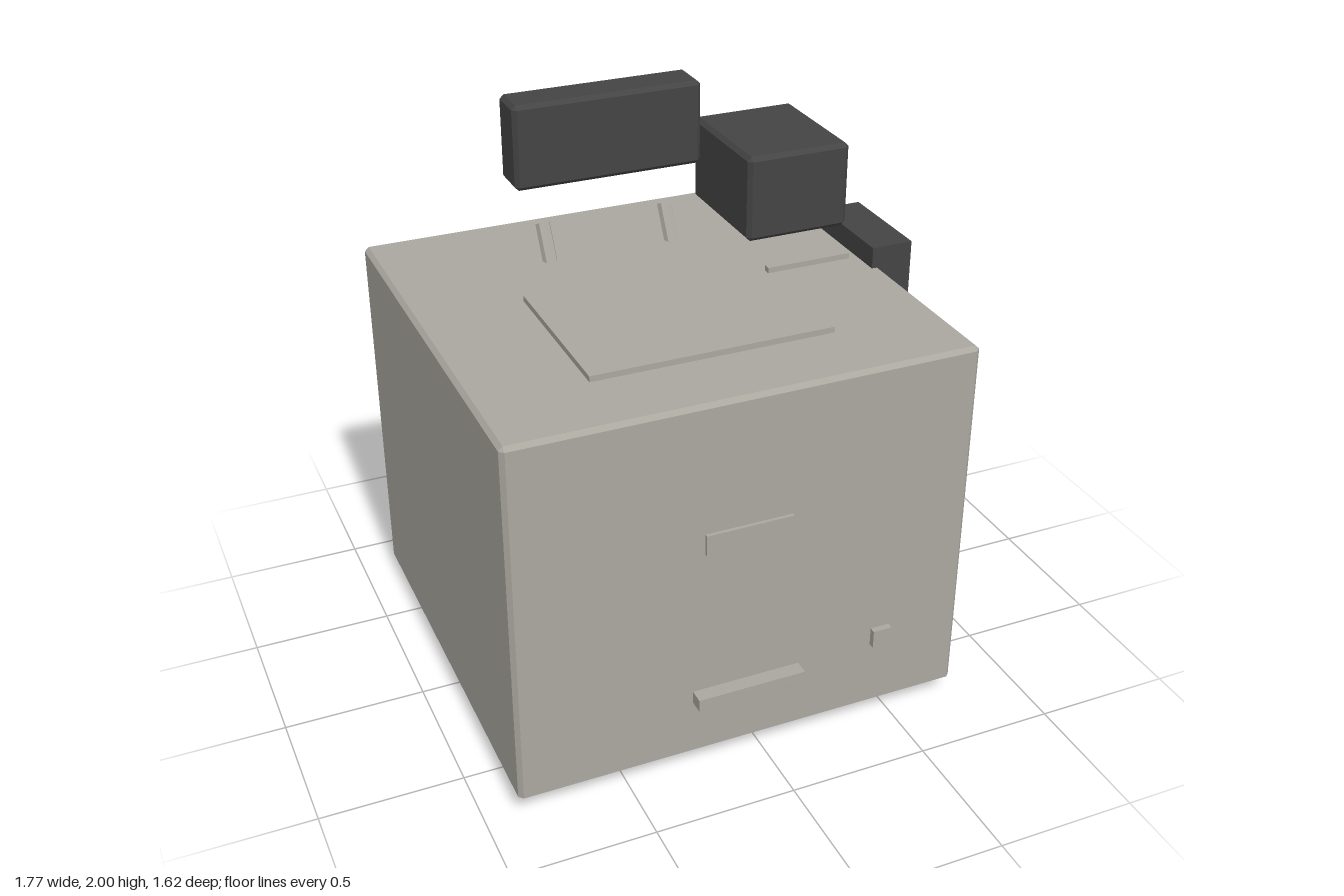
import * as THREE from 'three';

export function createModel() {
  const model = new THREE.Group();
  const shell = new THREE.MeshStandardMaterial({ color: 0xaaa79f, flatShading: true, side: THREE.DoubleSide });
  shell.name = 'warm grey';
  const dark = new THREE.MeshStandardMaterial({ color: 0x444444, flatShading: true });
  dark.name = 'charcoal';

  const add = (name, geometry, material) => {
    const mesh = new THREE.Mesh(geometry, material);
    mesh.name = name;
    model.add(mesh);
    return mesh;
  };

  // Plain box given by its extents
  const box = (name, material, [x0, x1], [y0, y1], [z0, z1]) =>
    add(name, new THREE.BoxGeometry(x1 - x0, y1 - y0, z1 - z0), material)
      .position.set((x0 + x1) / 2, (y0 + y1) / 2, (z0 + z1) / 2);

  // Box with chamfered edges, optionally open underneath
  const chamferBox = (name, material, [x0, x1], [y0, y1], [z0, z1], c, open = false) => {
    const ring = (y, inset) => {
      const points = [];
      const w = (x1 - x0) / 2, d = (z1 - z0) / 2;
      [[1, 1], [-1, 1], [-1, -1], [1, -1]].forEach(([sx, sz], i) => {
        const onX = [sx * (w - inset), y, sz * (d - c)];
        const onZ = [sx * (w - c), y, sz * (d - inset)];
        points.push(...(i % 2 ? [onZ, onX] : [onX, onZ]));
      });
      return points.map(([x, h, z]) => [x + (x0 + x1) / 2, h, z + (z0 + z1) / 2]);
    };
    const rings = [ring(y1 - c, 0), ring(y1, c)];
    rings.unshift(...(open ? [ring(y0, 0)] : [ring(y0, c), ring(y0 + c, 0)]));
    const pos = [];
    const tri = (...corners) => corners.forEach((p) => pos.push(...p));
    for (let r = 0; r < rings.length - 1; r++) {
      for (let i = 0; i < 8; i++) {
        const j = (i + 1) % 8, low = rings[r], high = rings[r + 1];
        tri(low[i], high[i], low[j]);
        tri(low[j], high[i], high[j]);
      }
    }
    const top = rings[rings.length - 1], bottom = rings[0];
    for (let i = 1; i < 7; i++) {
      tri(top[0], top[i + 1], top[i]);
      if (!open) tri(bottom[0], bottom[i], bottom[i + 1]);
    }
    const geometry = new THREE.BufferGeometry();
    geometry.setAttribute('position', new THREE.Float32BufferAttribute(pos, 3));
    geometry.computeVertexNormals();
    add(name, geometry, material);
  };

  // Main housing, open underneath, with the plinth panel behind its front
  chamferBox('housing', shell, [-0.885, 0.75], [0.075, 1.412], [-0.81, 0.757], 0.015, true);
  box('plinthPanel', dark, [-0.82, 0.69], [0.13, 0.56], [0.705, 0.755]);

  // Hexagonal feet
  for (const x of [-0.735, 0.595]) {
    for (const z of [0.605, -0.65]) {
      add('foot', new THREE.CylinderGeometry(0.047, 0.047, 0.08, 6), dark).position.set(x, 0.04, z);
    }
  }

  // Top plate and slim bar
  box('topPlate', shell, [-0.5, 0.36], [1.405, 1.433], [-0.145, 0.48]);
  box('slimBar', shell, [0.32, 0.635], [1.455, 1.475], [0.037, 0.065]);

  // Leaning pegs beneath the display
  for (const x of [-0.305, 0.165]) {
    const peg = add('displayPeg', new THREE.CylinderGeometry(0.027, 0.027, 0.17, 8), shell);
    peg.position.set(x, 1.455, -0.45);
    peg.rotation.x = -0.51;
  }

  // Display and printer units
  chamferBox('display', dark, [-0.42, 0.282], [1.69, 2], [-0.575, -0.42], 0.015);
  chamferBox('printerUnit', dark, [0.285, 0.672], [1.535, 1.845], [-0.493, -0.03], 0.015);

  // Side reader with its face plate
  box('sideReader', dark, [0.715, 0.87], [1.257, 1.49], [-0.298, 0.092]);
  box('readerPlate', shell, [0.86, 0.885], [1.256, 1.415], [-0.26, 0.055]);

  // Front details
  box('frontBadge', shell, [-0.225, 0.085], [0.867, 0.942], [0.75, 0.77]);
  box('frontButton', shell, [0.405, 0.475], [0.32, 0.387], [0.75, 0.78]);
  box('frontHandle', shell, [-0.265, 0.127], [0.28, 0.325], [0.75, 0.81]);
  for (const x of [-0.228, 0.09]) {
    const nub = add('handleNub', new THREE.CylinderGeometry(0.022, 0.022, 0.05, 8), shell);
    nub.rotation.x = Math.PI / 2;
    nub.position.set(x, 0.287, 0.78);
  }
  return model;
}
